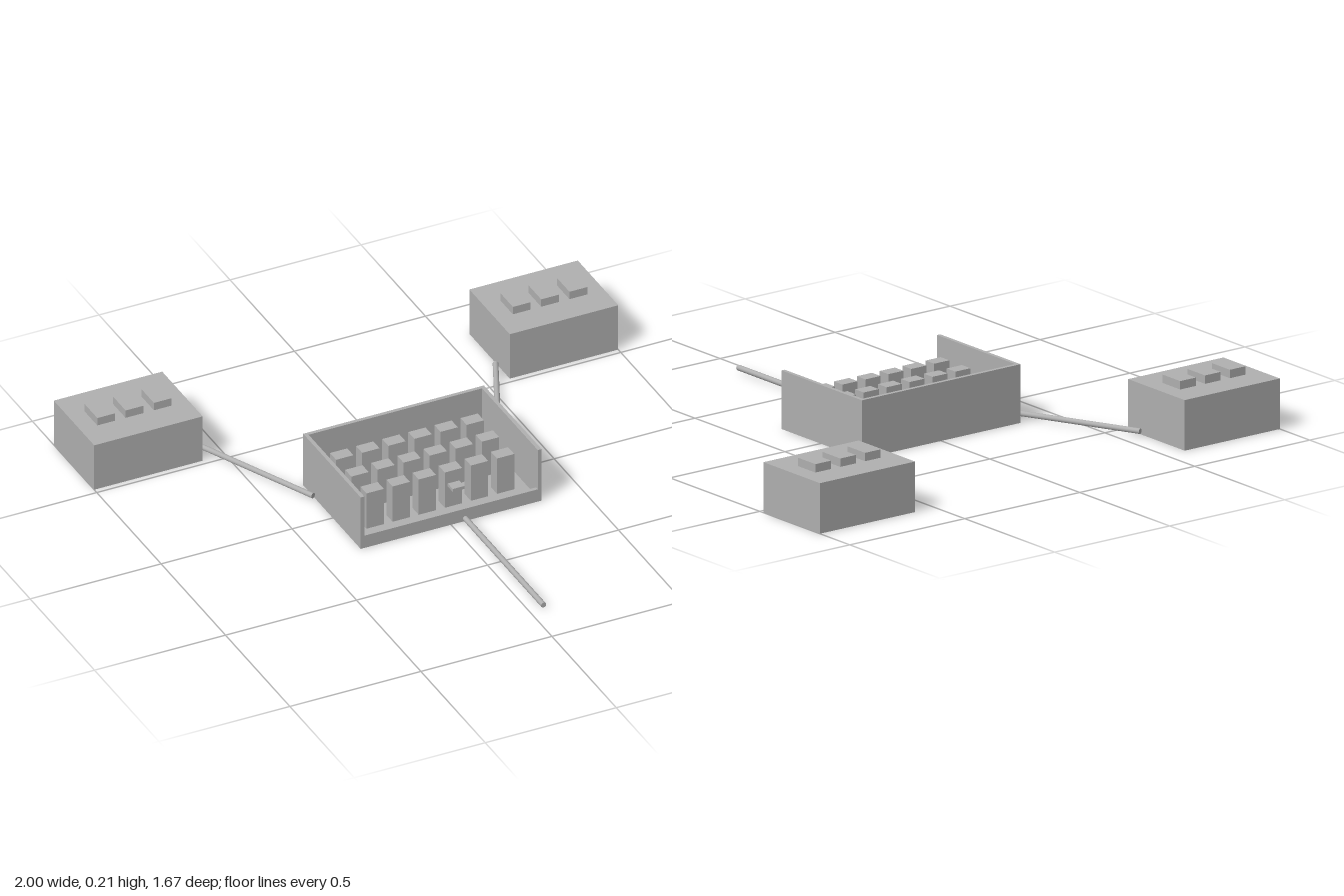
import * as THREE from 'three';

const gray = new THREE.MeshStandardMaterial({ color: 0xb0b0b0 });
gray.name = 'plain gray';

export function createModel() {
  const model = new THREE.Group();
  model.name = 'connectedModules';

  // box given by its x, y and z ranges
  const box = (parent, name, x0, x1, y0, y1, z0, z1) => {
    const mesh = new THREE.Mesh(new THREE.BoxGeometry(x1 - x0, y1 - y0, z1 - z0), gray);
    mesh.position.set((x0 + x1) / 2, (y0 + y1) / 2, (z0 + z1) / 2);
    mesh.name = name;
    parent.add(mesh);
    return mesh;
  };

  // round cable lying between two points on the ground plan
  const cable = (name, xa, za, xb, zb) => {
    const a = new THREE.Vector3(xa, 0.017, za);
    const b = new THREE.Vector3(xb, 0.017, zb);
    const geometry = new THREE.CylinderGeometry(0.01, 0.01, a.distanceTo(b), 12);
    const mesh = new THREE.Mesh(geometry, gray);
    mesh.position.copy(a).add(b).multiplyScalar(0.5);
    mesh.quaternion.setFromUnitVectors(new THREE.Vector3(0, 1, 0), b.sub(a).normalize());
    mesh.name = name;
    model.add(mesh);
  };

  // open case: floor, three tall walls and a low front lip
  const openCase = new THREE.Group();
  openCase.name = 'case';
  model.add(openCase);
  const W = 0.345, IN = 0.331, H = 0.21, BACK = -0.23, FRONT = 0.217, T = 0.014;
  box(openCase, 'floor', -IN, IN, 0, 0.016, BACK + T, FRONT - T);
  box(openCase, 'backWall', -IN, IN, 0, H, BACK, BACK + T);
  box(openCase, 'frontLip', -IN, IN, 0, 0.05, FRONT - T, FRONT);
  box(openCase, 'rightWall', -W, -IN, 0, H, BACK, FRONT);
  box(openCase, 'leftWall', IN, W, 0, H, BACK, FRONT);

  // three rows of six cells
  const cells = new THREE.Group();
  cells.name = 'cells';
  model.add(cells);
  for (const z of [-0.126, -0.008, 0.11]) {
    for (let i = 0; i < 6; i++) {
      const x = (i - 2.5) * 0.0996;
      box(cells, 'cell', x - 0.033, x + 0.033, 0.016, 0.16, z - 0.024, z + 0.024);
    }
  }
  box(cells, 'cellTab', 0.028, 0.072, 0.1, 0.112, 0.134, 0.173);

  // side units with three raised blocks, each cabled to the case
  for (const s of [-1, 1]) {
    const unit = new THREE.Group();
    unit.name = s > 0 ? 'leftUnit' : 'rightUnit';
    unit.position.set(s * 0.793, 0, -0.677);
    model.add(unit);
    box(unit, 'unitBody', -0.207, 0.207, 0, 0.181, -0.157, 0.157);
    for (const i of [-1, 0, 1]) {
      const x = i * 0.108;
      box(unit, 'raisedBlock', x - 0.034, x + 0.034, 0.181, 0.211, -0.049, 0.049);
    }
    cable(s > 0 ? 'leftCable' : 'rightCable', s * 0.573, -0.604, s * 0.355, -0.132);
  }
  cable('frontCable', 0.05, 0.226, 0.05, 0.834);

  return model;
}
